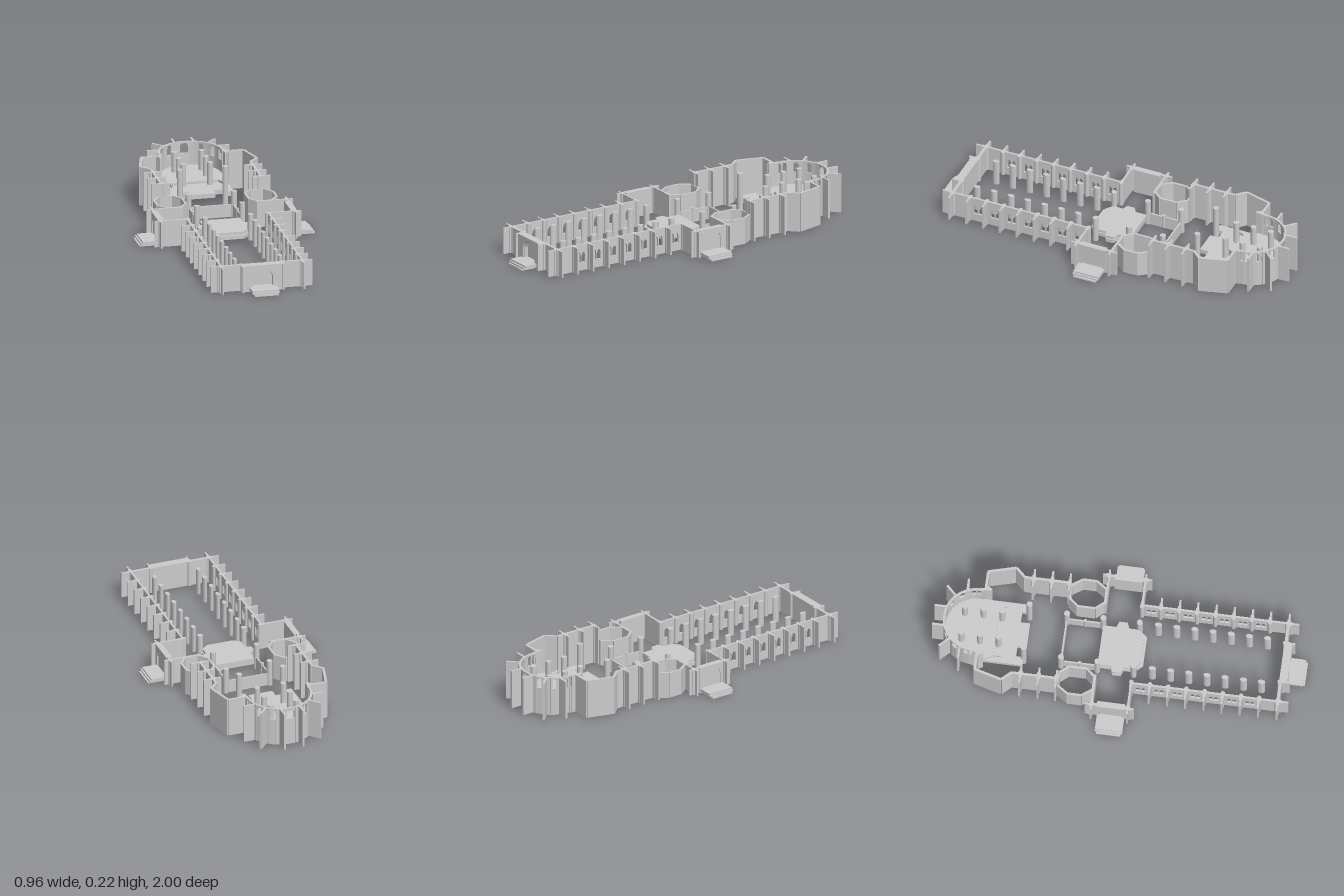
import * as THREE from 'three';

const LOW = 0.145, HIGH = 0.215;
const mat = new THREE.MeshStandardMaterial({ color: 0xcccccc, side: THREE.DoubleSide });

// Arch outline centred on u; flat is the level share of the crown
function archPath(u, w, y0, y1, flat = 0.15) {
  const p = new THREE.Path(), h = w / 2, spring = y0 + (y1 - y0) * 0.62;
  p.moveTo(u - h, y0);
  p.lineTo(u + h, y0);
  p.lineTo(u + h, spring);
  p.quadraticCurveTo(u + h * 0.9, y1 - (y1 - spring) * 0.3, u + h * flat, y1);
  p.lineTo(u - h * flat, y1);
  p.quadraticCurveTo(u - h * 0.9, y1 - (y1 - spring) * 0.3, u - h, spring);
  p.closePath();
  return p;
}

export function createModel() {
  const root = new THREE.Group();

  function add(name, geo, x = 0, y = 0, z = 0, parent = root) {
    const m = new THREE.Mesh(geo, mat);
    m.name = name;
    m.position.set(x, y, z);
    parent.add(m);
    return m;
  }

  // Upright wall between two plan points, windows = [u, width, y0, y1, flat]
  function wall(name, [ax, az], [bx, bz], h, t = 0.012, windows = []) {
    const len = Math.hypot(bx - ax, bz - az);
    const s = new THREE.Shape();
    s.moveTo(0, 0); s.lineTo(len, 0); s.lineTo(len, h); s.lineTo(0, h); s.closePath();
    for (const w of windows) s.holes.push(archPath(...w));
    const g = new THREE.ExtrudeGeometry(s, { depth: t, bevelEnabled: false, curveSegments: 5 });
    g.translate(0, 0, -t / 2);
    add(name, g, ax, 0, az).rotation.y = -Math.atan2(bz - az, bx - ax);
  }

  // Chain of walls through plan points
  function wallChain(name, pts, h, t) {
    for (let i = 1; i < pts.length; i++) wall(name, pts[i - 1], pts[i], h, t);
  }

  function column(name, x, z, r, h, stretch = 1) {
    add(name, new THREE.CylinderGeometry(r, r, h, 12), x, h / 2, z).scale.z = stretch;
  }

  // Flat slab with a plan outline given for the +x half, mirrored
  function slab(name, half, y0, y1) {
    const s = new THREE.Shape();
    const pts = [...half, ...half.map(([x, z]) => [-x, z]).reverse()];
    s.setFromPoints(pts.map(([x, z]) => new THREE.Vector2(x, -z)));
    const g = new THREE.ExtrudeGeometry(s, { depth: y1 - y0, bevelEnabled: false });
    g.rotateX(-Math.PI / 2);
    add(name, g, 0, y0, 0);
  }

  // Buttress: thin fin, stouter root and a round shaft on the inner face
  function buttress(a, b, h) {
    const mid = [a[0] + (b[0] - a[0]) * 0.45, a[1] + (b[1] - a[1]) * 0.45];
    wall('buttressFin', a, b, h, 0.01);
    wall('buttressRoot', a, mid, h, 0.018);
    column('buttressShaft', a[0], a[1], 0.012, h);
  }

  // Portal facing +z: splayed arch orders on a solid back, with steps in front
  function portal(name, x, z, rotY, halfWidth, depth, stepOut) {
    const g = new THREE.Group(), orders = 5, d = depth / orders;
    g.name = name;
    for (let i = 0; i < orders; i++) {
      const s = new THREE.Shape();
      s.moveTo(-halfWidth, 0); s.lineTo(halfWidth, 0);
      s.lineTo(halfWidth, LOW); s.lineTo(-halfWidth, LOW); s.closePath();
      s.holes.push(archPath(0, 0.1 + i * 0.004, 0.015, 0.11 + i * 0.004, 0.55));
      add('archOrder', new THREE.ExtrudeGeometry(s, { depth: d, bevelEnabled: false, curveSegments: 5 }), 0, 0, i * d, g);
    }
    add('portalBack', new THREE.BoxGeometry(halfWidth * 2, LOW, 0.01), 0, LOW / 2, -0.003, g);
    for (let i = 0; i < 3; i++) {
      const out = stepOut - i * 0.01;
      add('step', new THREE.BoxGeometry(i ? 0.147 : 0.13, 0.0085, out), 0, 0.00425 + i * 0.0085, out / 2, g);
    }
    g.position.set(x, 0, z);
    g.rotation.y = rotY;
    root.add(g);
  }

  // West front
  wall('frontWall', [-0.22, 0.875], [0.22, 0.875], LOW, 0.016);
  portal('frontPortal', 0, 0.875, 0, 0.115, 0.036, 0.125);

  const bays = [0.09, 0.19, 0.288, 0.385, 0.483, 0.58, 0.678, 0.775, 0.875];
  for (const s of [-1, 1]) {
    const P = (x, z) => [s * x, z];

    // Nave: windowed bays, buttresses and arcade columns
    for (let i = 1; i < bays.length; i++) {
      const len = bays[i] - bays[i - 1], m = len / 2;
      const lights = i < 8 ? [[m - 0.014, 0.023, 0.045, 0.1], [m + 0.014, 0.023, 0.045, 0.1]] : [];
      wall('naveWall', P(0.222, bays[i - 1]), P(0.222, bays[i]), LOW, 0.012, lights);
      buttress(P(0.215, bays[i]), P(0.277, bays[i]), LOW);
      if (i < 8) column('naveColumn', s * 0.124, bays[i], 0.012, LOW, 1.6);
    }
    buttress(P(0.222, 0.87), P(0.222, 0.932), LOW);
    buttress(P(0.11, 0.87), P(0.11, 0.925), LOW);

    // Transept arm
    wall('transeptFrontWall', P(0.215, 0.09), P(0.37, 0.09), LOW);
    wall('transeptBackWall', P(0.2, -0.105), P(0.37, -0.105), LOW);
    wall('transeptEndWall', P(0.366, -0.105), P(0.366, 0.09), LOW, 0.014);
    buttress(P(0.215, 0.09), P(0.277, 0.09), LOW);
    for (const [z, d] of [[0.09, 1], [-0.105, -1]]) {
      buttress(P(0.36, z), P(0.4, z), LOW);
      buttress(P(0.368, z), P(0.368, z + d * 0.035), LOW);
      column('crossingPier', s * 0.124, z, 0.016, LOW);
    }
    portal('transeptPortal', s * 0.354, 0, s * Math.PI / 2, 0.075, 0.025, 0.126);

    // Octagonal chapel
    wallChain('octagonChapelWall', [[0.325, -0.24], [0.285, -0.298], [0.212, -0.298], [0.172, -0.25],
      [0.172, -0.155], [0.212, -0.108], [0.285, -0.108], [0.325, -0.165], [0.325, -0.24]].map(p => P(...p)), LOW, 0.012);

    // Choir enclosure
    wall('choirScreenSide', P(0.12, -0.3), P(0.12, -0.105), 0.07, 0.009);
    column('choirPier', s * 0.124, -0.3, 0.016, LOW);
    column('choirScreenPost', s * 0.12, -0.2, 0.009, 0.08);
    column('choirPier', s * 0.124, -0.5, 0.016, HIGH);

    // Choir aisle and polygonal chapel
    wallChain('choirAisleWall', [[0.272, -0.3], [0.272, -0.545], [0.318, -0.595], [0.278, -0.742],
      [0.172, -0.742]].map(p => P(...p)), HIGH, 0.014);
    for (const z of [-0.305, -0.4, -0.497]) {
      buttress(P(0.262, z), P(0.325, z), HIGH);
      wall('aislePier', P(0.225, z), P(0.262, z), HIGH, 0.011);
    }
    wallChain('chapelCorner', [P(0.195, -0.742), P(0.178, -0.712), P(0.174, -0.77)], HIGH, 0.014);

    // Sanctuary columns
    for (const z of [-0.84, -0.74, -0.64]) column('sanctuaryColumn', s * 0.074, z, 0.016, 0.195);

    // Apse buttresses
    for (const [a, b] of [[[0.053, -0.93], [0.053, -1]], [[0.12, -0.895], [0.172, -0.948]], [[0.165, -0.838], [0.225, -0.838]]])
      wall('apseButtress', P(...a), P(...b), HIGH, 0.012);
  }

  // Low screen at the head of the crossing
  wall('choirScreenBack', [-0.124, -0.3], [0.124, -0.3], 0.07, 0.009);

  // Apse: curved wall in short panels [start angle, has light], mirrored after the centre bay
  const cz = -0.77, R = 0.172;
  const at = deg => [R * Math.sin(deg * Math.PI / 180), cz - R * Math.cos(deg * Math.PI / 180)];
  const panels = [[-18, 0], [-8.5, 1], [8.5, 0], [18, 0], [26, 1], [37, 0], [45, 0], [51, 1], [62, 0], [68, 0], [74, 1], [83, 0], [85, 1], [94, 0]];
  function apsePanel(a, b, hasLight) {
    const p = at(a), q = at(b), len = Math.hypot(q[0] - p[0], q[1] - p[1]);
    wall('apseWall', p, q, HIGH, 0.012, hasLight ? [[len / 2, len * 0.9, 0.15, 0.206, 0.5]] : []);
  }
  panels.forEach(([a, light], i) => {
    const b = i + 1 < panels.length ? panels[i + 1][0] : 97;
    apsePanel(a, b, light);
    if (i > 2) apsePanel(-b, -a, light);
  });

  // Raised sanctuary floor with notched stair front, and the upper inner level
  const apseEdge = [90, 75, 60, 45, 30, 15, 0.5].map(at);
  slab('sanctuaryFloor', [[0.068, -0.49], [0.068, -0.54], [0.125, -0.54], [0.125, -0.5], [0.172, -0.5], ...apseEdge], 0.045, 0.07);
  slab('sanctuaryUpperFloor', [[0.125, -0.66], [0.142, -0.615], [0.142, -0.66], [0.165, -0.7], ...apseEdge], 0.07, 0.085);

  // Crossing platform: two stepped slabs with side landings
  const platform = [[0.118, -0.105], [0.118, -0.035], [0.15, -0.022], [0.15, 0.022], [0.118, 0.035], [0.118, 0.09], [0.08, 0.135]];
  slab('crossingPlatformStep', platform, 0.025, 0.045);
  slab('crossingPlatform', platform.map(([x, z]) => [x - 0.007, z > 0.1 ? z - 0.015 : z]), 0.045, 0.06);

  return root;
}
